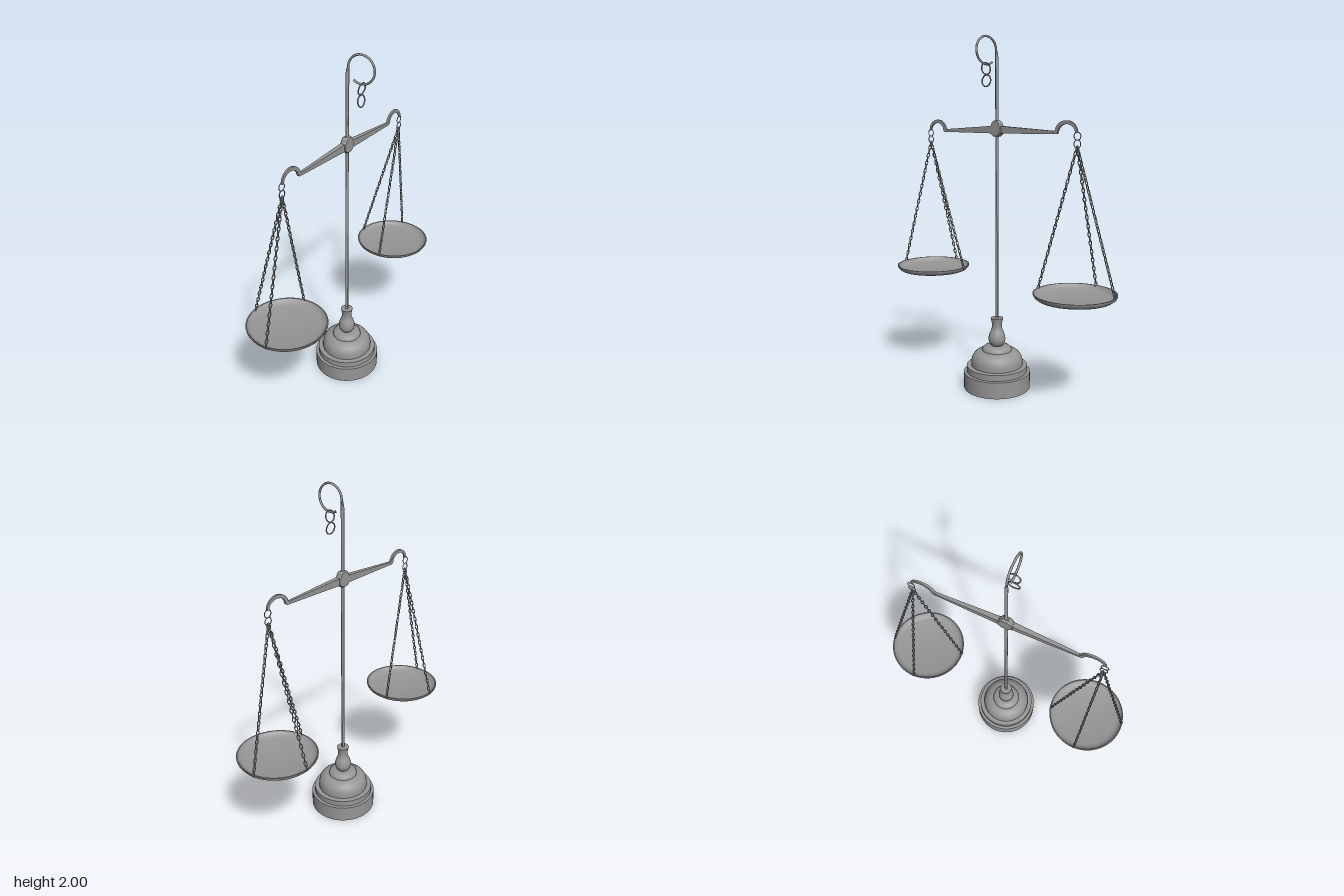
import * as THREE from 'three';
import { mergeGeometries, toCreasedNormals } from 'three/addons/utils/BufferGeometryUtils.js';

const V = (x, y, z) => new THREE.Vector3(x, y, z);
const POLE_X = 0.004;
const POLE_Z = 0.013;
const BEAM_Z = 0.012;

export function createModel() {
  const model = new THREE.Group();
  model.name = 'balanceScale';
  const grey = new THREE.MeshStandardMaterial({ color: 0x969696 });

  function add(name, geometry, x = 0, y = 0, z = 0, parent = model) {
    const mesh = new THREE.Mesh(geometry, grey);
    mesh.name = name;
    mesh.position.set(x, y, z);
    parent.add(mesh);
    return mesh;
  }

  // Turned solid with crisp steps and smooth curves
  function turned(profile, segments = 48) {
    const points = profile.map(([r, y]) => new THREE.Vector2(r, y));
    return toCreasedNormals(new THREE.LatheGeometry(points, segments), 0.6);
  }

  // Stepped base with a dome and a vase-shaped socket
  const socket = new THREE.SplineCurve([
    [0.032, 0.25], [0.044, 0.266], [0.049, 0.29], [0.044, 0.318], [0.034, 0.342],
    [0.029, 0.362], [0.03, 0.385], [0.036, 0.415],
  ].map(([r, y]) => new THREE.Vector2(r, y))).getPoints(24).map((p) => [p.x, p.y]);
  add('base', turned([
    [0, 0], [0.193, 0], [0.193, 0.095], [0.176, 0.097], [0.176, 0.132], [0.149, 0.134],
    [0.149, 0.16], [0.144, 0.182], [0.132, 0.201], [0.115, 0.214], [0.096, 0.221],
    [0.086, 0.222], [0.082, 0.236], [0.07, 0.246], [0.05, 0.25], ...socket, [0, 0.415],
  ]), POLE_X, 0, POLE_Z);

  // Upright pole with a tapered tip
  add('pole', turned([[0, 0.4], [0.009, 0.4], [0.009, 1.885], [0.004, 1.915], [0, 1.915]], 20),
    POLE_X, 0, POLE_Z);

  // Curled wire hook at the top of the pole
  const curl = [V(0, 1.83, 0.019), V(0, 1.88, 0.018)];
  for (let i = 0; i <= 24; i++) {
    const a = THREE.MathUtils.degToRad(i * 305 / 24);
    curl.push(V(0, 1.92 + 0.074 * Math.sin(a), 0.0975 - 0.079 * Math.cos(a)));
  }
  add('topHook', new THREE.TubeGeometry(new THREE.CatmullRomCurve3(curl), 80, 0.006, 8), POLE_X);

  // Two rings hanging from the hook
  const bigRing = new THREE.TorusGeometry(0.031, 0.0036, 8, 32);
  add('upperHookRing', bigRing, POLE_X, 1.823, 0.102).rotation.x = 0.17;
  add('lowerHookRing', bigRing, POLE_X, 1.759, 0.099).rotation.x = -0.1;

  // Beam arm ending in a downturned crook, thinner towards the tip
  const arm = new THREE.Shape();
  arm.moveTo(0, 1.475);
  arm.lineTo(0.41, 1.478);
  arm.lineTo(0.42, 1.487);
  arm.absellipse(0.473, 1.487, 0.053, 0.043, Math.PI, 0, true);
  arm.lineTo(0.541, 1.485);
  arm.absellipse(0.471, 1.487, 0.07, 0.062, 0, Math.PI - 0.2, false);
  arm.lineTo(0.396, 1.494);
  arm.lineTo(0, 1.518);
  const armGeometry = new THREE.ExtrudeGeometry(arm, { depth: 0.03, bevelEnabled: false, curveSegments: 20 });
  armGeometry.translate(0, 0, -0.015);
  const p = armGeometry.attributes.position;
  for (let i = 0; i < p.count; i++) p.setZ(i, p.getZ(i) * (1 - 1.35 * p.getX(i)));
  const armSmooth = toCreasedNormals(armGeometry, 0.5);
  add('leftBeamArm', armSmooth, POLE_X, 0, BEAM_Z);
  add('rightBeamArm', armSmooth, POLE_X, 0, BEAM_Z).rotation.y = Math.PI;

  // Faceted boss where the beam meets the pole
  const boss = new THREE.Shape();
  const outline = [[0.014, 1.461], [0.025, 1.468], [0.039, 1.481], [0.039, 1.51],
    [0.029, 1.52], [0.025, 1.533], [0.014, 1.542]];
  outline.forEach(([x, y], i) => (i ? boss.lineTo(x, y) : boss.moveTo(x, y)));
  outline.reverse().forEach(([x, y]) => boss.lineTo(-x, y));
  const bossGeometry = new THREE.ExtrudeGeometry(boss, {
    depth: 0.022, bevelThickness: 0.007, bevelSize: 0.004, bevelSegments: 1,
  });
  add('beamBoss', bossGeometry, POLE_X, 0, BEAM_Z - 0.011);

  // Chain of stretched links, each turned a quarter from the last
  const link = new THREE.TorusGeometry(0.0072, 0.0027, 5, 12).scale(1, 2, 1);
  function chain(from, to) {
    const along = to.clone().sub(from);
    const count = Math.round(along.length() / 0.0255);
    const aim = new THREE.Quaternion().setFromUnitVectors(V(0, 1, 0), along.clone().normalize());
    const links = [];
    for (let i = 0; i < count; i++) {
      const at = from.clone().addScaledVector(along, (i + 0.5) / count);
      links.push(link.clone().rotateY((i % 2) * Math.PI / 2 + Math.PI / 4)
        .applyQuaternion(aim).translate(at.x, at.y, at.z));
    }
    return mergeGeometries(links);
  }

  // Shallow dish, its hanging rings and three chains
  const dish = turned([
    [0, 0.619], [0.185, 0.619], [0.202, 0.623], [0.214, 0.632], [0.222, 0.644], [0.223, 0.652],
    [0.217, 0.652], [0.21, 0.641], [0.198, 0.632], [0.182, 0.628], [0, 0.628],
  ], 64);
  const smallRing = new THREE.TorusGeometry(0.0205, 0.0025, 8, 28);
  const rimPoints = [[-0.218, 0.038], [-0.01, -0.219], [0.214, -0.052]];
  for (const [side, x] of [['left', 0.537], ['right', -0.537]]) {
    const pan = new THREE.Group();
    pan.name = side + 'Pan';
    pan.position.x = x;
    model.add(pan);
    add('dish', dish, 0, 0, 0, pan);
    add('upperRing', smallRing, 0.004, 1.47, 0.009, pan);
    add('lowerRing', smallRing, 0.004, 1.43, 0.009, pan);
    for (const [rx, rz] of rimPoints) {
      add('chain', chain(V(0.004, 1.418, 0.009), V(rx, 0.643, rz)), 0, 0, 0, pan);
    }
  }
  return model;
}
